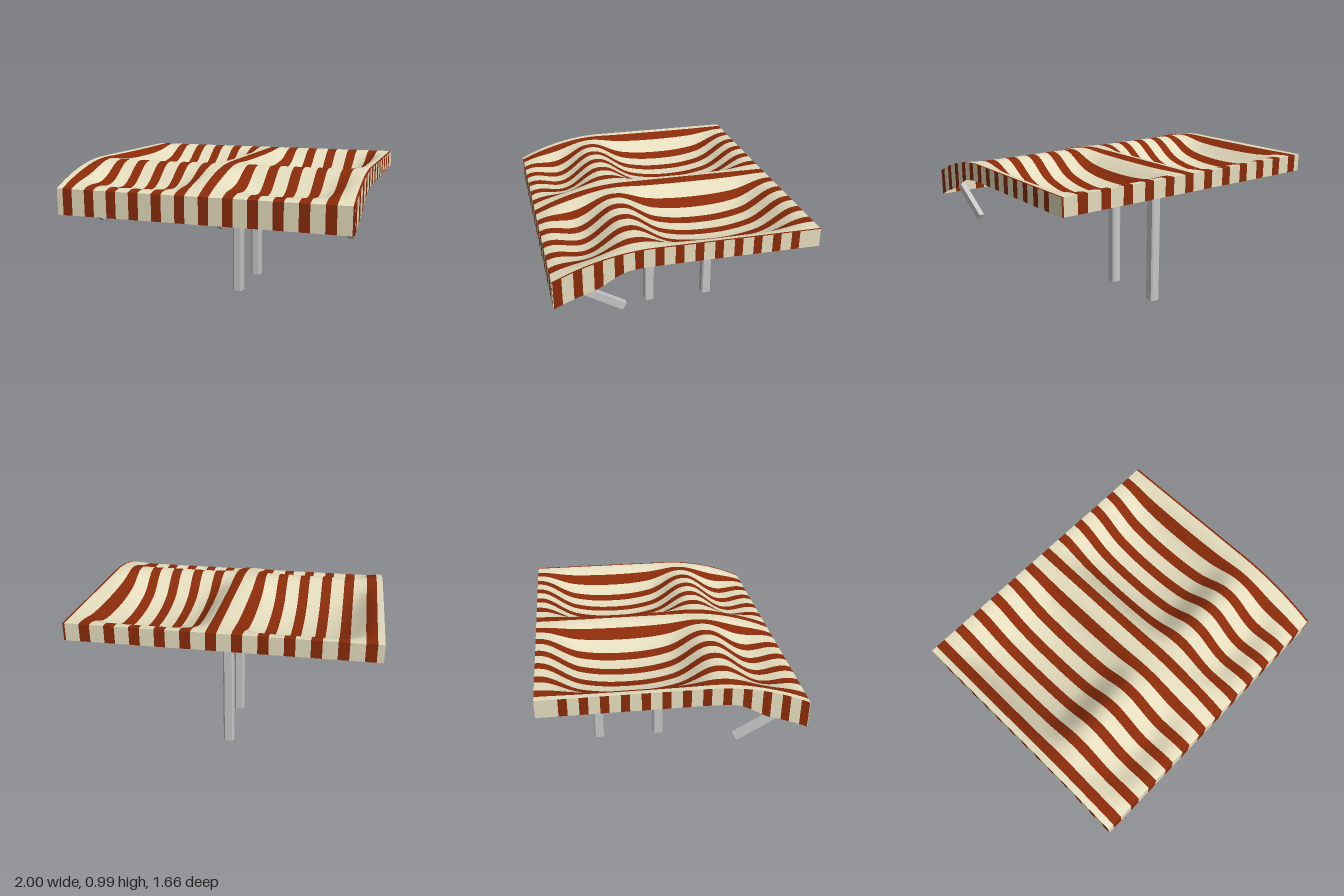
import * as THREE from 'three';
import { mergeGeometries } from 'three/addons/utils/BufferGeometryUtils.js';

const X = 1, Z = 0.83, RIDGE_Z = 0.33, RIDGE_X = 0.02;

const material = (name, color) => {
  const m = new THREE.MeshStandardMaterial({ color, side: THREE.DoubleSide });
  m.name = name;
  return m;
};

// Roof line along z: flat, then curving down to the front
const roofY = z => 0.993 - 0.373 * Math.max(0, z - 0.2) ** 2;
const skirtY = z => roofY(z) - 0.118 - 0.061 * THREE.MathUtils.smoothstep(z, 0.36, 0.6);

// Rounded hollow, 0 at t = 0 and 1, 1 in the middle, with softly rolled rims
const hollow = t => {
  const s = 1 - Math.abs(2 * t - 1) ** 2.3;
  return s * THREE.MathUtils.smoothstep(s, 0, 0.8);
};

// Cloth sagging in two bays side by side, deep behind the ridge and shallow in front
function clothY(x, z) {
  const across = hollow(x < RIDGE_X ? (x + X) / (RIDGE_X + X) : (x - RIDGE_X) / (X - RIDGE_X));
  const along = z < RIDGE_Z
    ? 0.178 * hollow((z + Z) / (RIDGE_Z + Z))
    : 0.1 * Math.sin(Math.PI * ((z - RIDGE_Z) / (Z - RIDGE_Z)) ** 0.95) ** 2;
  return roofY(z) - across * along;
}

// Sheet whose points come from f(u, v, target), u in [u0, u1], v in [0, 1]
function sheet(u0, u1, nu, nv, f) {
  const g = new THREE.PlaneGeometry(1, 1, nu, nv);
  const p = g.attributes.position, t = new THREE.Vector3();
  for (let i = 0; i < p.count; i++) {
    f(u0 + (p.getX(i) + 0.5) * (u1 - u0), p.getY(i) + 0.5, t);
    p.setXYZ(i, t.x, t.y, t.z);
  }
  g.computeVertexNormals();
  return g;
}

// Alternating stripes over [-end, end]
function stripes(end, first, period, width) {
  const list = [];
  let at = -end;
  for (let s = first; s < end; s += period) {
    const stop = Math.min(s + width, end);
    list.push([at, s, 'cream'], [s, stop, 'red']);
    at = stop;
  }
  if (at < end) list.push([at, end, 'cream']);
  return list;
}

export function createModel() {
  const model = new THREE.Group();
  model.name = 'awning';
  const mats = {
    cream: material('cream cloth', 0xe4dcbd),
    red: material('rust red cloth', 0x8a2b0a),
    metal: material('grey metal', 0xc6c6c6),
  };

  // Striped cloth parts, one mesh per colour
  function striped(name, bands, nu, nv, f) {
    const group = new THREE.Group();
    group.name = name;
    for (const color of ['cream', 'red']) {
      const parts = bands.filter(b => b[2] === color).map(b => sheet(b[0], b[1], nu, nv, f));
      const mesh = new THREE.Mesh(mergeGeometries(parts), mats[color]);
      mesh.name = `${name} ${color} stripes`;
      group.add(mesh);
    }
    model.add(group);
  }
  const xBands = stripes(X, -0.957, 0.162, 0.069);
  const zBands = stripes(Z, -0.694, 0.1222, 0.0535);

  striped('roofCloth', xBands, 4, 100, (x, v, t) => {
    const z = Z - 2 * Z * v;
    t.set(x, clothY(x, z), z);
  });
  for (const [name, z] of [['frontSkirt', Z], ['backSkirt', -Z]]) {
    striped(name, xBands, 1, 1, (x, v, t) =>
      t.set(x, THREE.MathUtils.lerp(skirtY(z), roofY(z), v), z));
  }
  for (const [name, x] of [['leftSkirt', X], ['rightSkirt', -X]]) {
    striped(name, zBands, 4, 1, (z, v, t) =>
      t.set(x, THREE.MathUtils.lerp(skirtY(z), roofY(z), v), z));
  }

  function metal(name, geometry) {
    const mesh = new THREE.Mesh(geometry, mats.metal);
    mesh.name = name;
    model.add(mesh);
    return mesh;
  }

  // Posts: square tubes with chamfered corners
  const a = 0.036, b = 0.026;
  const section = new THREE.Shape([[a, -b], [a, b], [b, a], [-b, a], [-a, b], [-a, -b], [-b, -a], [b, -a]]
    .map(([x, y]) => new THREE.Vector2(x, y)));
  for (const [name, z] of [['frontPost', 0.02], ['backPost', -0.435]]) {
    const g = new THREE.ExtrudeGeometry(section, { depth: 0.95, bevelEnabled: false });
    g.rotateX(-Math.PI / 2);
    metal(name, g).position.set(0.01, 0, z);
  }

  // Front rail with three pairs of forked arms
  const joint = new THREE.Vector3(0, 0.8, 0.77);
  metal('frontRail', new THREE.BoxGeometry(1.84, 0.04, 0.04)).position.copy(joint);
  for (const x of [-0.91, 0.01, 0.91]) {
    for (const [name, y] of [['upperArm', 0.868], ['lowerArm', 0.572]]) {
      const end = new THREE.Vector3(0, y, 0.39);
      const arm = metal(name, new THREE.BoxGeometry(0.036, 0.05, joint.distanceTo(end)));
      arm.position.copy(joint).add(end).multiplyScalar(0.5).setX(x);
      arm.rotation.x = Math.atan2(y - joint.y, joint.z - end.z);
    }
  }
  return model;
}
